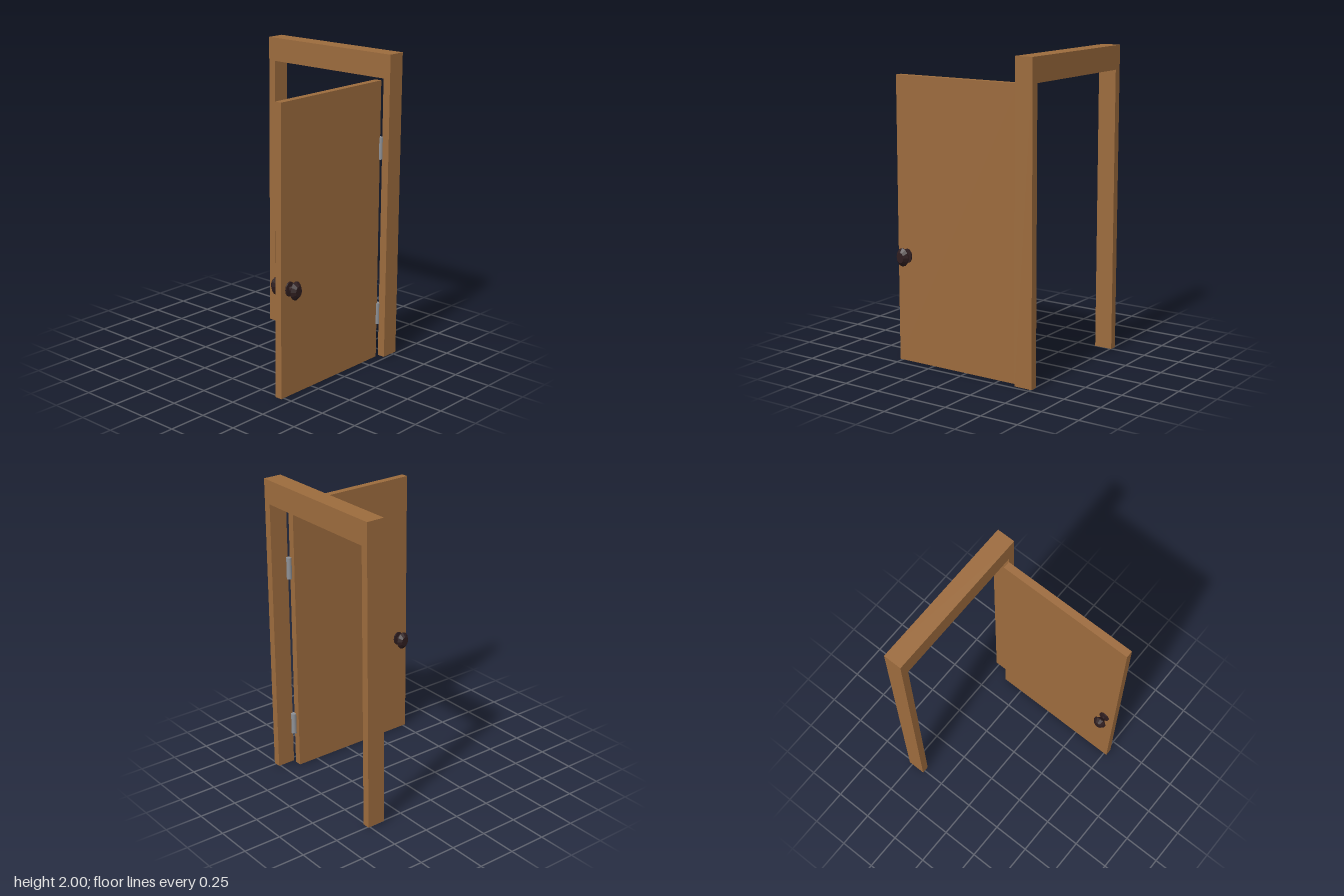
import * as THREE from 'three';

export function createModel() {
  const model = new THREE.Group();
  model.name = 'openDoor';

  const material = (name, color, flatShading = false) => {
    const m = new THREE.MeshStandardMaterial({ color, flatShading });
    m.name = name;
    return m;
  };
  const wood = material('wood', 0x9c6b3d);
  const darkMetal = material('darkMetal', 0x2e1d1f, true);
  const steel = material('steel', 0x8e9196);

  const add = (name, geometry, mat, x = 0, y = 0, z = 0, parent = model) => {
    const mesh = new THREE.Mesh(geometry, mat);
    mesh.name = name;
    mesh.position.set(x, y, z);
    parent.add(mesh);
    return mesh;
  };

  // Door frame: two posts and a deep lintel in one piece
  const outline = [
    [-0.52, 0.01], [-0.47, 0.01], [-0.47, 1.846], [0.448, 1.846],
    [0.448, 0.01], [0.499, 0.01], [0.499, 2], [-0.52, 2],
  ].map(([x, y]) => new THREE.Vector2(x, y));
  const frame = new THREE.ExtrudeGeometry(new THREE.Shape(outline), { depth: 0.121, bevelEnabled: false });
  add('doorFrame', frame, wood, 0, 0, -0.521);

  // Door leaf, swung open towards the front
  const doorX = 0.4145;
  add('doorLeaf', new THREE.BoxGeometry(0.047, 1.835, 0.912), wood, doorX, 0.9175, 0.065);

  // Hinge barrels between the leaf and the post
  const barrel = new THREE.CylinderGeometry(0.018, 0.018, 0.143, 16);
  for (const y of [0.3, 1.403]) add('hinge', barrel, steel, 0.434, y, -0.4);

  // Oval knob with its rosette, turned about the handle axis
  const profile = [
    [0, 0], [0.036, 0], [0.036, 0.033], [0.015, 0.035], [0.015, 0.047],
    [0.046, 0.073], [0.046, 0.078], [0.026, 0.102], [0, 0.102],
  ].map(([r, h]) => new THREE.Vector2(r, h));
  const knob = new THREE.LatheGeometry(profile, 12);
  knob.scale(1.3, 1, 1);
  for (const side of [-1, 1]) {
    const mesh = add(side < 0 ? 'rightKnob' : 'leftKnob', knob, darkMetal, doorX, 0.693, 0.45);
    mesh.rotation.z = -side * Math.PI / 2;
  }

  return model;
}
